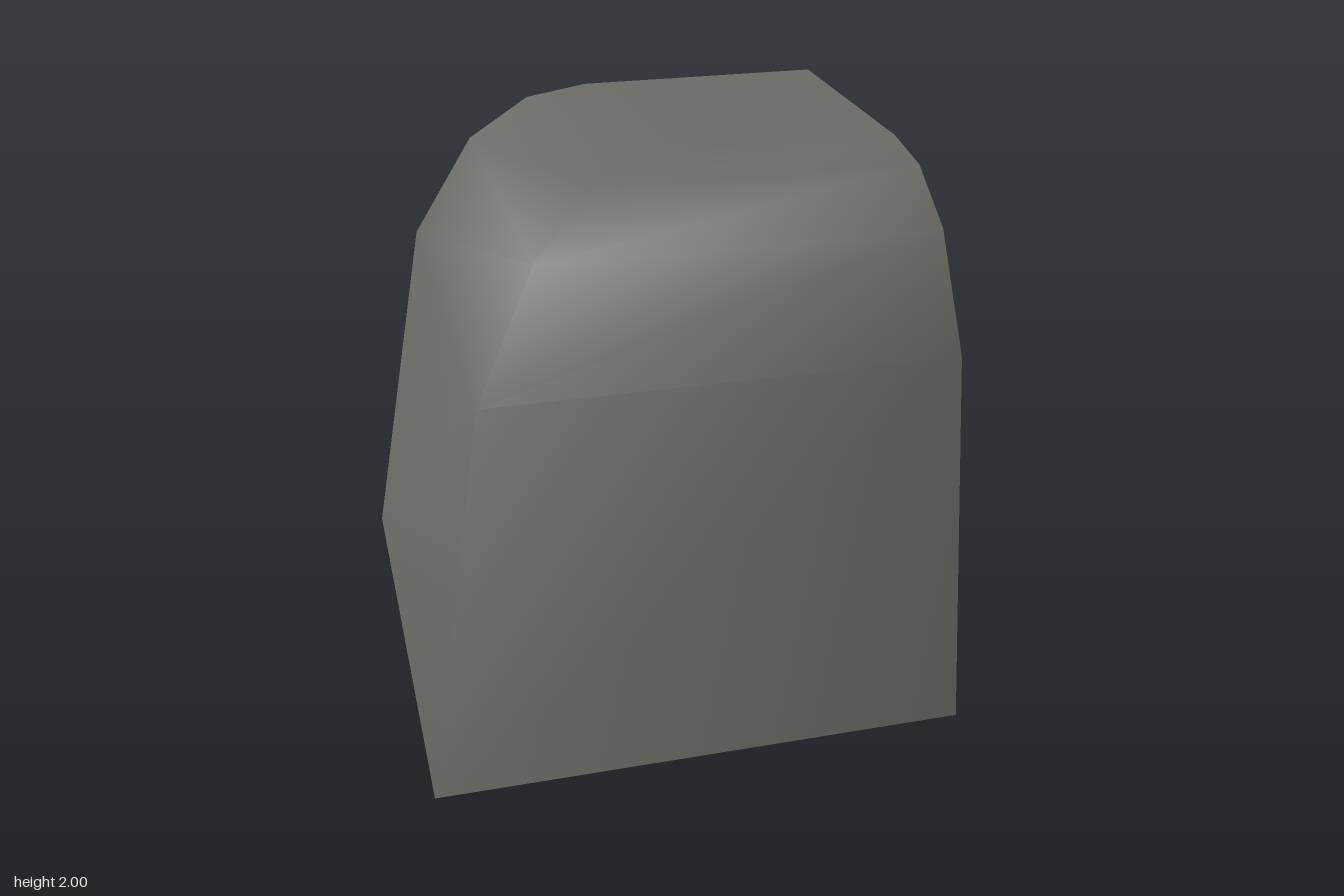
import * as THREE from 'three';

export function createModel() {
  const group = new THREE.Group();
  const stone = new THREE.MeshStandardMaterial({ color: 0x6b6b65, side: THREE.DoubleSide });
  stone.name = 'stone grey';

  // Slope profile: distance inwards and height
  const profile = [[-1, 0], [-0.75, 1.4], [-0.5, 1.8], [-0.25, 1.96], [0, 2]];
  const positions = [];
  const indices = [];

  // L-shaped contours: right end of the front, mitred corner, back end of the side
  for (const [p, y] of profile) positions.push(1, y, -p, p, y, -p, p, y, -1);

  // Curved front and side strips between neighbouring contours
  for (let i = 0; i < profile.length - 1; i++) {
    for (let j = 0; j < 2; j++) {
      const a = i * 3 + j, b = a + 1, a2 = a + 3, b2 = b + 3;
      indices.push(b, a, a2, b, a2, b2);
    }
  }

  // Flat top
  const t = (profile.length - 1) * 3;
  positions.push(1, 2, -1);
  indices.push(t + 1, t, t + 3, t + 1, t + 3, t + 2);

  const geometry = new THREE.BufferGeometry();
  geometry.setAttribute('position', new THREE.Float32BufferAttribute(positions, 3));
  geometry.setIndex(indices);
  geometry.computeVertexNormals();

  const shell = new THREE.Mesh(geometry, stone);
  shell.name = 'cornerSlope';
  group.add(shell);
  return group;
}
